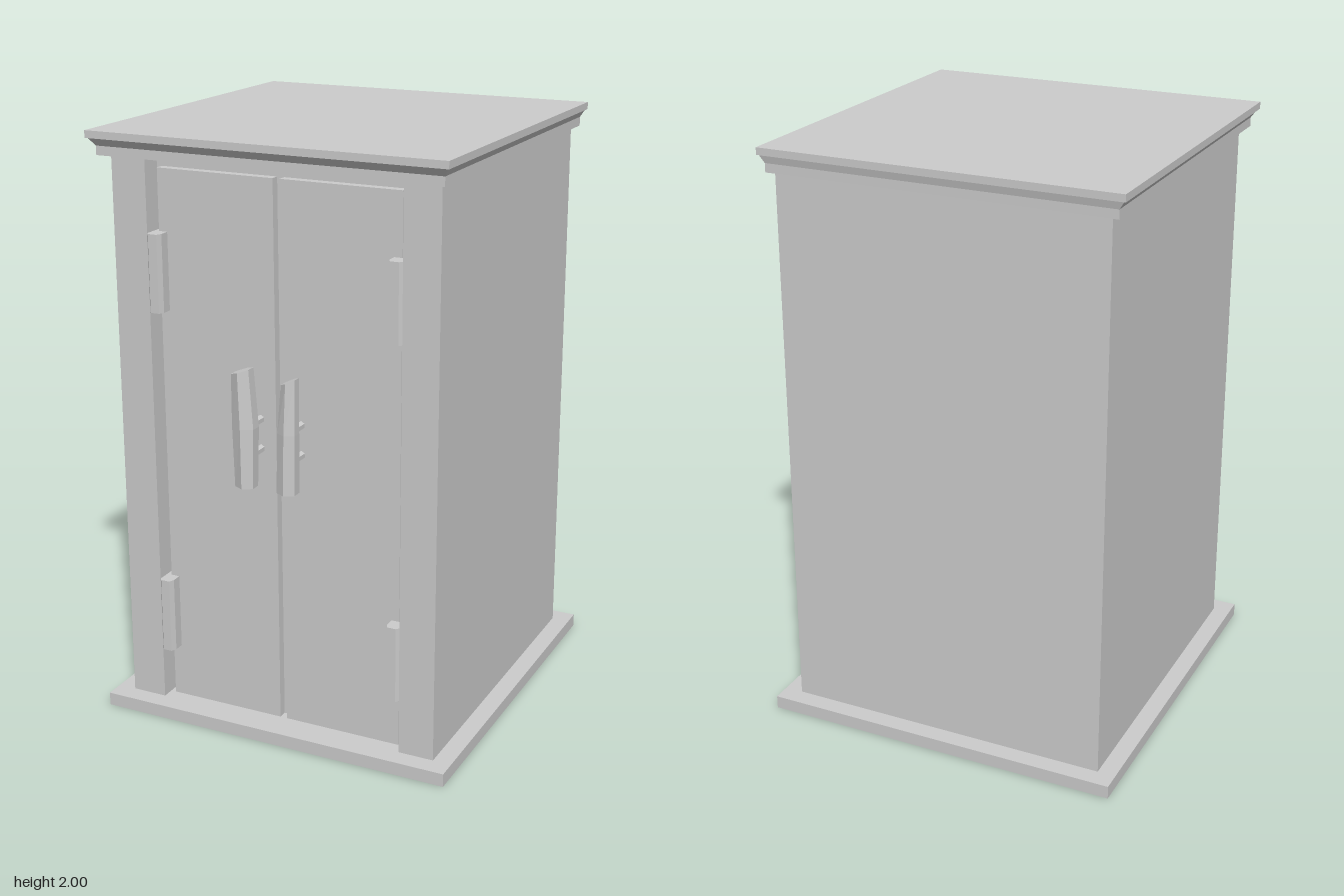
import * as THREE from 'three';

const material = new THREE.MeshStandardMaterial({ color: 0xcccccc, flatShading: true });

// Block between two heights; bottom and top are [x0, x1, z0, z1] and may differ
function block(name, y0, y1, bottom, top = bottom) {
  const g = new THREE.BoxGeometry(1, 1, 1);
  const p = g.attributes.position;
  for (let i = 0; i < p.count; i++) {
    const r = p.getY(i) > 0 ? top : bottom;
    p.setXYZ(i, p.getX(i) > 0 ? r[1] : r[0], p.getY(i) > 0 ? y1 : y0, p.getZ(i) > 0 ? r[3] : r[2]);
  }
  g.computeVertexNormals();
  const mesh = new THREE.Mesh(g, material);
  mesh.name = name;
  return mesh;
}

// Rough six-sided grip; each section is [y, centre x, half width, centre z, half depth]
function makeHandle(name, sections, postX) {
  const handle = new THREE.Group();
  handle.name = name;
  const g = new THREE.CylinderGeometry(1, 1, 2, 6, sections.length - 1);
  const p = g.attributes.position;
  for (let i = 0; i < p.count; i++) {
    const k = Math.round((p.getY(i) + 1) / 2 * (sections.length - 1));
    const [y, cx, hw, cz, hd] = sections[k];
    // the top end is cut a little unevenly
    const tilt = k === sections.length - 1 ? 0.012 * p.getX(i) : 0;
    p.setXYZ(i, cx + p.getX(i) * hw / 0.866, y + tilt, cz + p.getZ(i) * hd);
  }
  g.computeVertexNormals();
  const grip = new THREE.Mesh(g, material);
  grip.name = 'grip';
  handle.add(grip);

  // posts that join the grip to the door
  for (const y of [1.0, 1.1]) {
    const post = new THREE.Mesh(new THREE.CylinderGeometry(0.014, 0.014, 0.09, 6), material);
    post.rotation.x = Math.PI / 2;
    post.position.set(postX, y, 0.565);
    post.name = 'handlePost';
    handle.add(post);
  }
  return handle;
}

export function createModel() {
  const model = new THREE.Group();
  model.name = 'cabinet';

  // Base plate
  model.add(block('base', 0, 0.045, [-0.627, 0.625, -0.655, 0.637]));

  // Body core with a back that leans in slightly, and front posts beside the doors
  model.add(block('body', 0.045, 1.925, [-0.565, 0.562, -0.592, 0.5], [-0.565, 0.562, -0.57, 0.5]));
  model.add(block('rightPost', 0.045, 1.925, [-0.565, -0.443, 0.5, 0.572]));
  model.add(block('leftPost', 0.045, 1.925, [0.44, 0.562, 0.5, 0.572]));

  // Two recessed doors with narrow gaps around them
  model.add(block('rightDoor', 0.045, 1.88, [-0.425, -0.014, 0.49, 0.53]));
  model.add(block('leftDoor', 0.045, 1.88, [0.01, 0.42, 0.49, 0.53]));

  // Hinges with a bevelled inner side
  for (const side of [-1, 1]) {
    for (const [y0, y1] of [[0.23, 0.488], [1.42, 1.677]]) {
      const s = new THREE.Shape();
      s.moveTo(-0.442, -0.5);
      s.lineTo(-0.395, -0.5);
      s.lineTo(-0.395, -0.565);
      s.lineTo(-0.403, -0.583);
      s.lineTo(-0.434, -0.583);
      s.lineTo(-0.442, -0.572);
      s.closePath();
      const shape = side < 0 ? s : new THREE.Shape(s.getPoints().map(q => new THREE.Vector2(-q.x - 0.018, q.y)));
      const g = new THREE.ExtrudeGeometry(shape, { depth: y1 - y0, bevelEnabled: false });
      g.rotateX(-Math.PI / 2);
      g.translate(0, y0, 0);
      const hinge = new THREE.Mesh(g, material);
      hinge.position.x = side > 0 ? 0.016 : 0;
      hinge.name = side < 0 ? 'rightHinge' : 'leftHinge';
      model.add(hinge);
    }
  }

  // Uneven handles, listed from the bottom up
  model.add(makeHandle('rightHandle', [
    [0.9, -0.077, 0.032, 0.617, 0.035],
    [1.1, -0.077, 0.038, 0.617, 0.037],
    [1.285, -0.083, 0.031, 0.62, 0.034],
  ], -0.07));
  model.add(makeHandle('leftHandle', [
    [0.9, 0.07, 0.032, 0.615, 0.033],
    [1.1, 0.075, 0.03, 0.617, 0.033],
    [1.27, 0.081, 0.024, 0.613, 0.032],
  ], 0.075));

  // Cornice: plain band, flared moulding and roof slab
  const band = [-0.59, 0.588, -0.585, 0.617];
  const slab = [-0.613, 0.61, -0.597, 0.643];
  model.add(block('corniceBand', 1.92, 1.95, band));
  model.add(block('corniceMoulding', 1.95, 1.976, band, [-0.607, 0.604, -0.592, 0.636]));
  model.add(block('roofSlab', 1.976, 2.0, slab));

  return model;
}
